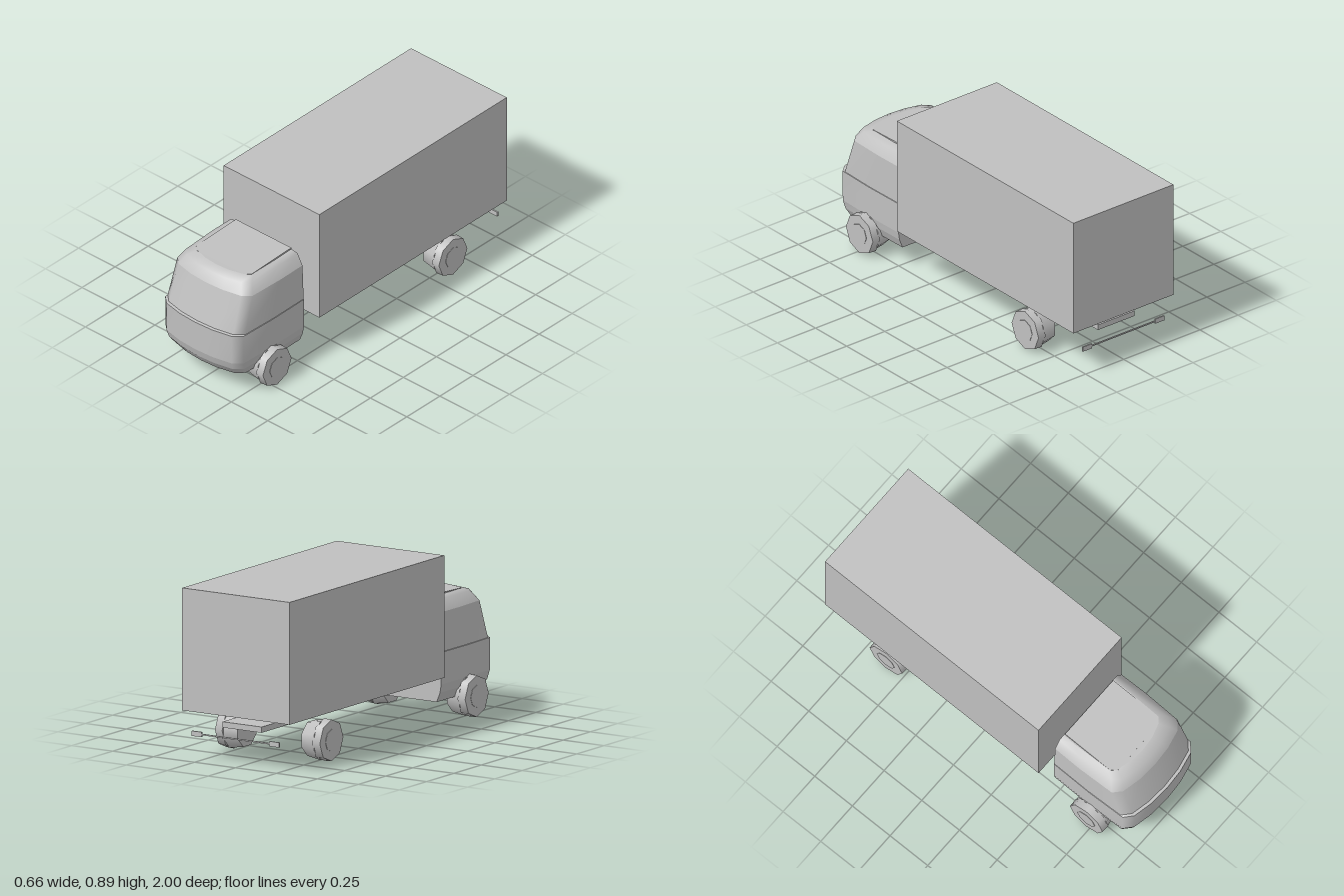
import * as THREE from 'three';
import { mergeVertices } from 'three/addons/utils/BufferGeometryUtils.js';

const paint = new THREE.MeshStandardMaterial({ color: 0xc0c0c0 });
paint.name = 'grey';

const CAB_BACK = 0.475;

function add(parent, name, geometry, x = 0, y = 0, z = 0) {
  const mesh = new THREE.Mesh(geometry, paint);
  mesh.name = name;
  mesh.position.set(x, y, z);
  parent.add(mesh);
  return mesh;
}

// One horizontal outline of the cab, open at the back, from its right to its left
function cabRing({ y, w, front, corner = 0.07, rise = 0 }) {
  const half = [
    [w, CAB_BACK], [w + 0.003, front - 0.28], [w - 0.004, front - corner],
    [w * 0.82, front - 0.03], [w * 0.42, front - 0.007],
  ];
  const points = [
    ...half.map(([x, z]) => [-x, z]), [0, front], ...half.slice().reverse(),
  ];
  return points.map(([x, z]) =>
    new THREE.Vector3(x, y + rise * (front - z) / (front - CAB_BACK), z));
}

// Faces between neighbouring rings, smooth within the strip
function skin(rings) {
  const pos = [];
  const put = (...vs) => vs.forEach((v) => pos.push(v.x, v.y, v.z));
  for (let r = 0; r < rings.length - 1; r++) {
    const a = rings[r], b = rings[r + 1];
    for (let i = 0; i < a.length - 1; i++) {
      put(a[i], a[i + 1], b[i + 1], a[i], b[i + 1], b[i]);
    }
  }
  return finish(pos, true);
}

// Fan closing one ring, facing up or down
function cap(ring, up) {
  const pos = [];
  const c = new THREE.Vector3();
  ring.forEach((p) => c.addScaledVector(p, 1 / ring.length));
  ring.forEach((p, i) => {
    const q = ring[(i + 1) % ring.length];
    (up ? [c, p, q] : [c, q, p]).forEach((v) => pos.push(v.x, v.y, v.z));
  });
  return finish(pos, false);
}

// Flat rear wall through the end points of every ring
function rearWall(rings) {
  const pos = [];
  for (let r = 0; r < rings.length - 1; r++) {
    const a = rings[r], b = rings[r + 1], n = a.length - 1;
    [a[n], a[0], b[0], a[n], b[0], b[n]].forEach((v) => pos.push(v.x, v.y, v.z));
  }
  return finish(pos, false);
}

function finish(pos, smooth) {
  let g = new THREE.BufferGeometry();
  g.setAttribute('position', new THREE.Float32BufferAttribute(pos, 3));
  if (smooth) g = mergeVertices(g);
  g.computeVertexNormals();
  return g;
}

function buildCab() {
  const cab = new THREE.Group();
  cab.name = 'cab';
  const sill = cabRing({ y: 0.115, w: 0.245, front: 0.95 });
  const bumperLow = cabRing({ y: 0.165, w: 0.265, front: 0.985 });
  const bumperTop = cabRing({ y: 0.208, w: 0.272, front: 0.997 });
  const waist = cabRing({ y: 0.375, w: 0.272, front: 0.998 });
  const glassLow = cabRing({ y: 0.377, w: 0.27, front: 0.982 });
  const glassTop = cabRing({ y: 0.58, w: 0.262, front: 0.917 });
  const brow = cabRing({ y: 0.632, w: 0.228, front: 0.885, rise: 0.008 });
  const roof = cabRing({ y: 0.648, w: 0.195, front: 0.835, rise: -0.003 });

  add(cab, 'lowerSkirt', skin([sill, bumperLow]));
  add(cab, 'bumper', skin([bumperLow, bumperTop]));
  add(cab, 'frontPanelAndDoors', skin([bumperTop, waist]));
  add(cab, 'waistLedge', skin([waist, glassLow]));
  add(cab, 'windscreenAndSideWindows', skin([glassLow, glassTop]));
  add(cab, 'roofShoulder', skin([glassTop, brow, roof]));
  add(cab, 'roof', cap(roof, true));
  add(cab, 'floor', cap(sill, false));
  add(cab, 'rearWall', rearWall(
    [sill, bumperLow, bumperTop, waist, glassLow, glassTop, brow, roof]));

  // Raised roof panel with clipped front corners, sloping up to the back
  const s = new THREE.Shape([
    [-0.19, -0.48], [0.19, -0.48], [0.19, -0.78], [0.16, -0.805],
    [-0.16, -0.81], [-0.19, -0.78],
  ].map(([x, y]) => new THREE.Vector2(x, y)));
  const panel = new THREE.ExtrudeGeometry(s, { depth: 0.008, bevelEnabled: false });
  panel.rotateX(-Math.PI / 2);
  const p = panel.attributes.position;
  for (let i = 0; i < p.count; i++) {
    p.setY(i, p.getY(i) + 0.64 + (0.81 - p.getZ(i)) * 0.03);
  }
  panel.computeVertexNormals();
  add(cab, 'roofPanel', panel);
  return cab;
}

// Eight-sided wheel: outer tyre, inner drum turned half a step, and a hub disc
function buildWheel(name, side, z) {
  const wheel = new THREE.Group();
  wheel.name = name;
  const drum = (part, rOut, rIn, x0, x1, turn, sides = 8) => {
    const g = new THREE.CylinderGeometry(rOut, rIn, x1 - x0, sides);
    g.rotateY(turn);
    g.rotateZ(-side * Math.PI / 2);
    add(wheel, part, g, side * (x0 + x1) / 2);
  };
  drum('tyre', 0.108, 0.11, 0.275, 0.32, 0);
  drum('innerDrum', 0.108, 0.094, 0.195, 0.28, Math.PI / 8);
  drum('hub', 0.058, 0.058, 0.31, 0.322, 0);
  wheel.position.set(0, 0.11, z);
  return wheel;
}

export function createModel() {
  const truck = new THREE.Group();
  truck.name = 'boxTruck';

  add(truck, 'cargoBox', new THREE.BoxGeometry(0.656, 0.635, 1.417), 0, 0.5775, -0.2885);
  add(truck, 'chassis', new THREE.BoxGeometry(0.24, 0.03, 1.45), 0, 0.2, -0.215);
  truck.add(buildCab());

  for (const side of [-1, 1]) {
    const hand = side > 0 ? 'left' : 'right';
    truck.add(buildWheel(hand + 'FrontWheel', side, 0.73));
    truck.add(buildWheel(hand + 'RearWheel', side, -0.6));
    add(truck, hand + 'RearLight', new THREE.BoxGeometry(0.06, 0.026, 0.008),
      side * 0.237, 0.148, -0.996);
  }
  // Thin bar joining the rear lights
  add(truck, 'rearBar', new THREE.BoxGeometry(0.42, 0.007, 0.006), 0, 0.148, -0.996);
  return truck;
}
